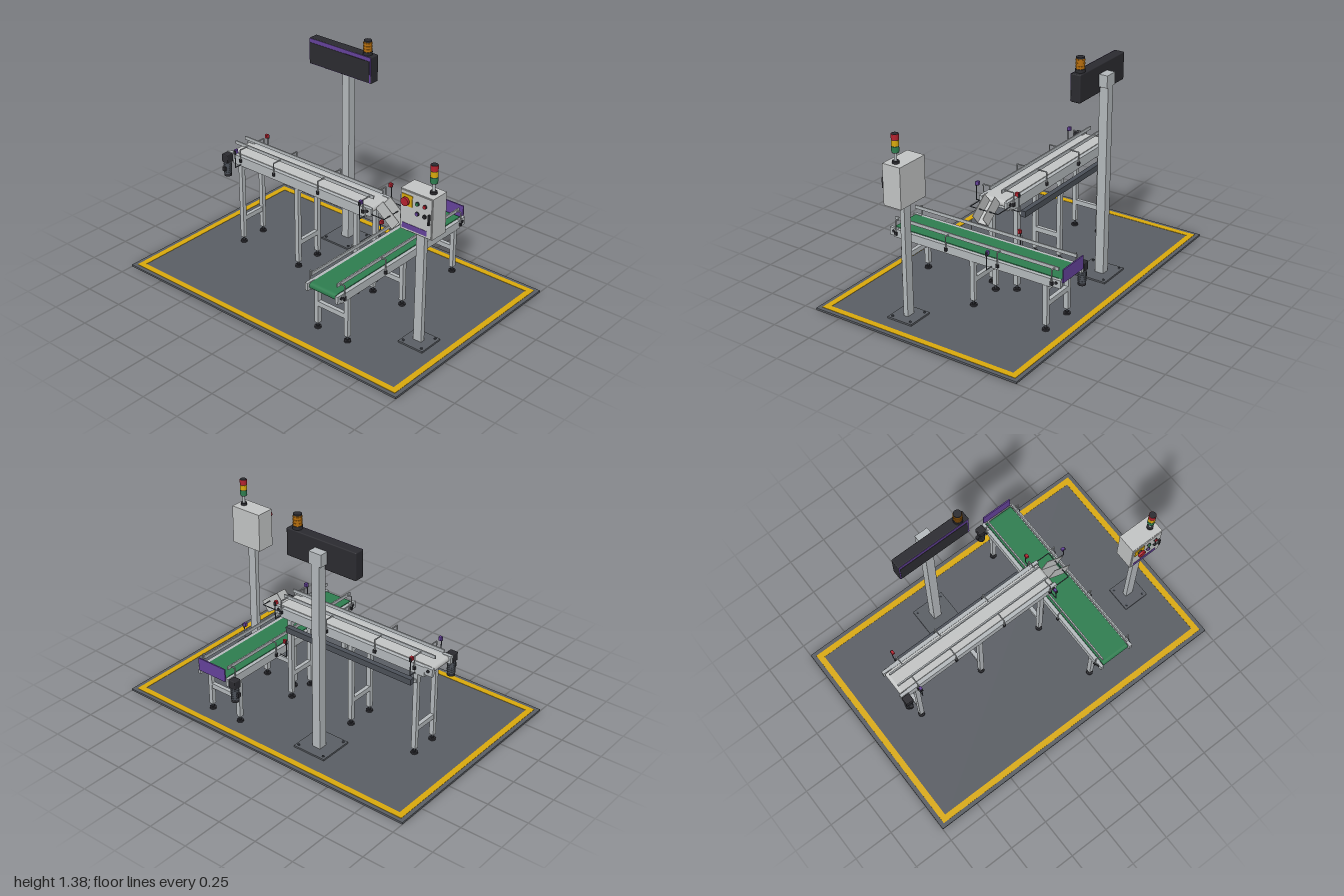
import * as THREE from 'three';
import { RoundedBoxGeometry } from 'three/addons/geometries/RoundedBoxGeometry.js';

const mat = (name, color) => {
  const m = new THREE.MeshStandardMaterial({ color });
  m.name = name;
  return m;
};

export function createModel() {
  const slate = mat('slate grey', 0x5a5e64), yellow = mat('safety yellow', 0xd9a90c);
  const alu = mat('aluminium', 0xb4b9bc), light = mat('light steel', 0xc2c4c4);
  const black = mat('black', 0x2b2b30), green = mat('belt green', 0x2e7d4f);
  const purple = mat('purple', 0x65429b), red = mat('red', 0xb5222f);
  const amber = mat('amber', 0xb56d0c), steel = mat('dark steel', 0x4b5058);
  const model = new THREE.Group();
  model.name = 'conveyorCell';

  const group = (name, parent = model) => {
    const g = new THREE.Group();
    g.name = name;
    parent.add(g);
    return g;
  };
  const add = (parent, name, geo, m) => {
    const mesh = new THREE.Mesh(geo, m);
    mesh.name = name;
    parent.add(mesh);
    return mesh;
  };
  // box given by its limits on each axis
  const box = (p, name, m, x0, x1, y0, y1, z0, z1, round = 0) => {
    const s = [x1 - x0, y1 - y0, z1 - z0];
    const geo = round ? new RoundedBoxGeometry(...s, 2, round) : new THREE.BoxGeometry(...s);
    const b = add(p, name, geo, m);
    b.position.set((x0 + x1) / 2, (y0 + y1) / 2, (z0 + z1) / 2);
    return b;
  };
  // cylinder centred on a point, along the given axis
  const cyl = (p, name, m, r, h, x, y, z, axis = 'y', seg = 20) => {
    const c = add(p, name, new THREE.CylinderGeometry(r, r, h, seg), m);
    c.position.set(x, y, z);
    if (axis === 'x') c.rotation.z = Math.PI / 2;
    if (axis === 'z') c.rotation.x = Math.PI / 2;
    return c;
  };

  // floor slab with painted border
  const FLOOR = 0.012;
  const floor = group('floor');
  box(floor, 'floorSlab', slate, -1, 1, 0, FLOOR, -0.67, 0.67);
  for (const s of [-1, 1]) {
    box(floor, 'borderLong', yellow, -0.975, 0.975, FLOOR, FLOOR + 0.002, s * 0.628 - 0.018, s * 0.628 + 0.018);
    box(floor, 'borderShort', yellow, s * 0.957 - 0.018, s * 0.957 + 0.018, FLOOR, FLOOR + 0.002, -0.61, 0.61);
  }

  // conveyor running along its own x, belt centred on z = 0
  function conveyor(name, c) {
    const g = group(name);
    const { top, bottom, half, rail } = c;
    const [a, b] = c.ends, outer = half + rail, r = 0.019;
    // belt loop
    const s = new THREE.Shape();
    s.absarc(b - r - 0.008, 0, r, -Math.PI / 2, Math.PI / 2);
    s.absarc(a + r + 0.008, 0, r, Math.PI / 2, Math.PI * 1.5);
    const belt = add(g, 'belt', new THREE.ExtrudeGeometry(s, { depth: 2 * half - 0.004, bevelEnabled: false }), c.belt);
    belt.position.set(0, top + 0.003 - r, -half + 0.002);

    for (const k of [-1, 1]) {
      const z = k * (half + rail / 2);
      box(g, 'sideRail', alu, c.beam[0], c.beam[1], bottom, top, z - rail / 2, z + rail / 2);
      // bearing plates at both ends
      for (const [x, d] of [[a, 1], [b, -1]]) {
        const xs = [x, x + d * 0.055].sort((p, q) => p - q);
        box(g, 'bearingPlate', alu, xs[0], xs[1], top - 0.045, top + 0.003, z - rail * 0.4, z + rail * 0.4);
        cyl(g, 'bearing', black, 0.009, rail + 0.006, x + d * 0.027, top - 0.016, z, 'z');
      }
      // guard rail on angled posts
      const gz = k * c.guard;
      box(g, 'guardRail', alu, c.guardX[0], c.guardX[1], c.guardY, c.guardY + 0.02, gz - 0.004, gz + 0.004);
      const pz = k * (outer + 0.004), py = c.guardY + 0.01;
      for (const x of c.posts) {
        cyl(g, 'guardPost', alu, 0.004, py - top + 0.03, x, (py + top - 0.03) / 2, pz, 'y', 10);
        cyl(g, 'guardArm', alu, 0.004, Math.abs(pz - gz), x, py, (pz + gz) / 2, 'z', 10);
        box(g, 'guardClamp', black, x - 0.008, x + 0.008, top - 0.034, top - 0.014, pz - 0.007, pz + 0.007);
      }
      // legs with levelling feet
      for (const x of c.legs) {
        box(g, 'leg', alu, x - 0.014, x + 0.014, 0.048, bottom, z - 0.013, z + 0.013);
        cyl(g, 'footStem', steel, 0.006, 0.03, x, 0.036, z, 'y', 10);
        cyl(g, 'footPad', black, 0.02, 0.011, x, FLOOR + 0.0055, z);
        cyl(g, 'footCollar', black, 0.01, 0.007, x, 0.027, z);
      }
      // sensor on its bracket
      for (const x of c.sensors) {
        const sz = k * (outer + 0.045), sy = c.guardY + 0.01;
        cyl(g, 'sensorArm', steel, 0.003, 0.05, x, bottom + 0.008, k * (outer + 0.02), 'z', 8);
        cyl(g, 'sensorPost', steel, 0.003, sy - bottom, x, (sy + bottom) / 2 + 0.006, sz, 'y', 8);
        box(g, 'sensorHead', k === c.emitter ? purple : red, x - 0.008, x + 0.008, sy - 0.008, sy + 0.014, sz - k * 0.01 - 0.009, sz - k * 0.01 + 0.009);
        box(g, 'sensorMount', black, x - 0.007, x + 0.007, sy - 0.014, sy + 0.008, sz - 0.005, sz + 0.005);
      }
    }
    // cross members
    for (const x of c.legs) {
      box(g, 'lowerCrossbar', alu, x - 0.012, x + 0.012, 0.16, 0.19, -half, half);
      box(g, 'upperCrossbar', alu, x - 0.012, x + 0.012, bottom - 0.033, bottom, -half, half);
    }
    // drive unit
    const mx = a + 0.024, mz = outer + 0.024;
    box(g, 'gearbox', black, mx - 0.024, mx + 0.024, top - 0.05, top + 0.003, outer, outer + 0.048, 0.005);
    cyl(g, 'motorBody', steel, 0.022, 0.075, mx, top - 0.087, mz, 'y', 24);
    for (let i = 0; i < 5; i++) cyl(g, 'motorFin', steel, 0.0245, 0.005, mx, top - 0.062 - i * 0.013, mz, 'y', 24);
    cyl(g, 'motorCap', black, 0.023, 0.016, mx, top - 0.132, mz, 'y', 24);
    box(g, 'terminalBox', black, mx - 0.01, mx + 0.01, top - 0.1, top - 0.075, mz + 0.015, mz + 0.036);
    return g;
  }

  const feed = conveyor('feedConveyor', {
    top: 0.597, bottom: 0.537, half: 0.073, rail: 0.024, belt: light,
    ends: [-0.79, 0.315], beam: [-0.74, 0.275], legs: [-0.685, -0.238, 0.206],
    guard: 0.04, guardX: [-0.77, 0.29], guardY: 0.635, posts: [-0.677, -0.41, -0.07, 0.262],
    sensors: [-0.68, 0.272], emitter: 1,
  });
  feed.position.z = -0.05;
  // cable tray behind the feed conveyor
  box(feed, 'cableTray', steel, -0.68, 0.2, 0.478, 0.514, -0.136, -0.105);
  for (const x of [-0.685, -0.238, 0.19]) box(feed, 'trayBracket', alu, x - 0.01, x + 0.01, 0.485, 0.505, -0.106, -0.095);

  const takeaway = conveyor('takeawayConveyor', {
    top: 0.34, bottom: 0.29, half: 0.095, rail: 0.023, belt: green,
    ends: [-0.607, 0.538], beam: [-0.556, 0.508], legs: [-0.512, -0.035, 0.445],
    guard: 0.09, guardX: [-0.58, 0.515], guardY: 0.385, posts: [-0.555, -0.207, 0.14, 0.49],
    sensors: [-0.165], emitter: -1,
  });
  takeaway.rotation.y = -Math.PI / 2;
  takeaway.position.x = 0.38;
  box(model, 'endStop', purple, 0.28, 0.48, 0.325, 0.405, -0.616, -0.608);

  // sloping transfer chute: floor and two walls
  const chute = group('chute');
  chute.position.set(0.30, 0.577, -0.052);
  chute.rotation.z = -Math.atan2(0.09, 0.115);
  box(chute, 'chuteFloor', light, 0, 0.147, 0, 0.005, -0.035, 0.035);
  for (const k of [-1, 1]) box(chute, 'chuteWall', light, 0, 0.147, 0, 0.078, k * 0.034 - 0.002, k * 0.034 + 0.002);
  const support = group('chuteSupport');
  for (const z of [-0.145, 0.04]) cyl(support, 'supportArm', steel, 0.003, 0.13, 0.34, 0.568, z, 'x', 8);
  cyl(support, 'supportCross', steel, 0.003, 0.185, 0.404, 0.568, -0.0525, 'z', 8);

  // base plate with anchor bolts
  const basePlate = (p, x0, x1, z0, z1) => {
    box(p, 'basePlate', slate, x0, x1, FLOOR, 0.022, z0, z1);
    for (const x of [x0 + 0.02, x1 - 0.02]) for (const z of [z0 + 0.02, z1 - 0.02])
      cyl(p, 'anchorBolt', steel, 0.007, 0.008, x, 0.025, z, 'y', 6);
  };

  // display on a tall post
  const display = group('displayStand');
  basePlate(display, -0.345, -0.13, -0.512, -0.297);
  box(display, 'displayPost', alu, -0.267, -0.215, 0.02, 1.175, -0.45, -0.395);
  box(display, 'displayBracket', alu, -0.282, -0.2, 1.17, 1.243, -0.452, -0.398);
  box(display, 'displayHousing', black, -0.47, -0.005, 1.132, 1.295, -0.4, -0.338, 0.006);
  box(display, 'displayFrame', purple, -0.466, -0.009, 1.136, 1.292, -0.34, -0.336);
  box(display, 'displayScreen', black, -0.461, -0.018, 1.14, 1.268, -0.337, -0.334);
  cyl(display, 'beaconBase', black, 0.028, 0.02, -0.056, 1.304, -0.367, 'y', 28);
  cyl(display, 'beaconLens', amber, 0.024, 0.058, -0.056, 1.343, -0.367, 'y', 28);
  for (const y of [1.327, 1.345, 1.363]) cyl(display, 'beaconRib', amber, 0.0262, 0.008, -0.056, y, -0.367, 'y', 28);
  cyl(display, 'beaconCap', black, 0.023, 0.01, -0.056, 1.376, -0.367, 'y', 28);

  // control cabinet
  const cabinet = group('controlCabinet');
  basePlate(cabinet, 0.7, 0.865, 0.11, 0.272);
  box(cabinet, 'cabinetPost', alu, 0.753, 0.806, 0.02, 0.71, 0.177, 0.206);
  box(cabinet, 'cabinetBody', light, 0.675, 0.885, 0.71, 0.95, 0.133, 0.248);
  box(cabinet, 'cabinetDoor', light, 0.68, 0.88, 0.715, 0.945, 0.247, 0.253);
  box(cabinet, 'stopPlate', yellow, 0.69, 0.757, 0.862, 0.927, 0.252, 0.257);
  cyl(cabinet, 'stopStem', black, 0.014, 0.015, 0.7235, 0.895, 0.262, 'z');
  cyl(cabinet, 'stopButton', red, 0.024, 0.014, 0.7235, 0.895, 0.274, 'z', 28);
  for (const [x, y, m] of [[0.79, 0.895, green], [0.838, 0.895, red], [0.79, 0.837, purple], [0.838, 0.837, black]]) {
    cyl(cabinet, 'buttonRing', black, 0.012, 0.006, x, y, 0.255, 'z');
    cyl(cabinet, 'button', m, 0.0095, 0.01, x, y, 0.259, 'z');
  }
  box(cabinet, 'doorHandle', black, 0.864, 0.873, 0.8, 0.86, 0.252, 0.266);
  box(cabinet, 'purpleStripe', purple, 0.692, 0.853, 0.726, 0.757, 0.252, 0.255);

  // stack light
  const stack = group('stackLight', cabinet);
  stack.position.set(0.843, 0.95, 0.191);
  cyl(stack, 'stackBase', black, 0.019, 0.014, 0, 0.007, 0);
  cyl(stack, 'stackPole', alu, 0.008, 0.055, 0, 0.035, 0);
  cyl(stack, 'stackCore', black, 0.0195, 0.106, 0, 0.114, 0, 'y', 24);
  [green, yellow, red].forEach((m, i) =>
    cyl(stack, 'stackLens', m, 0.021, 0.031, 0, 0.081 + i * 0.0345, 0, 'y', 24));

  return model;
}
